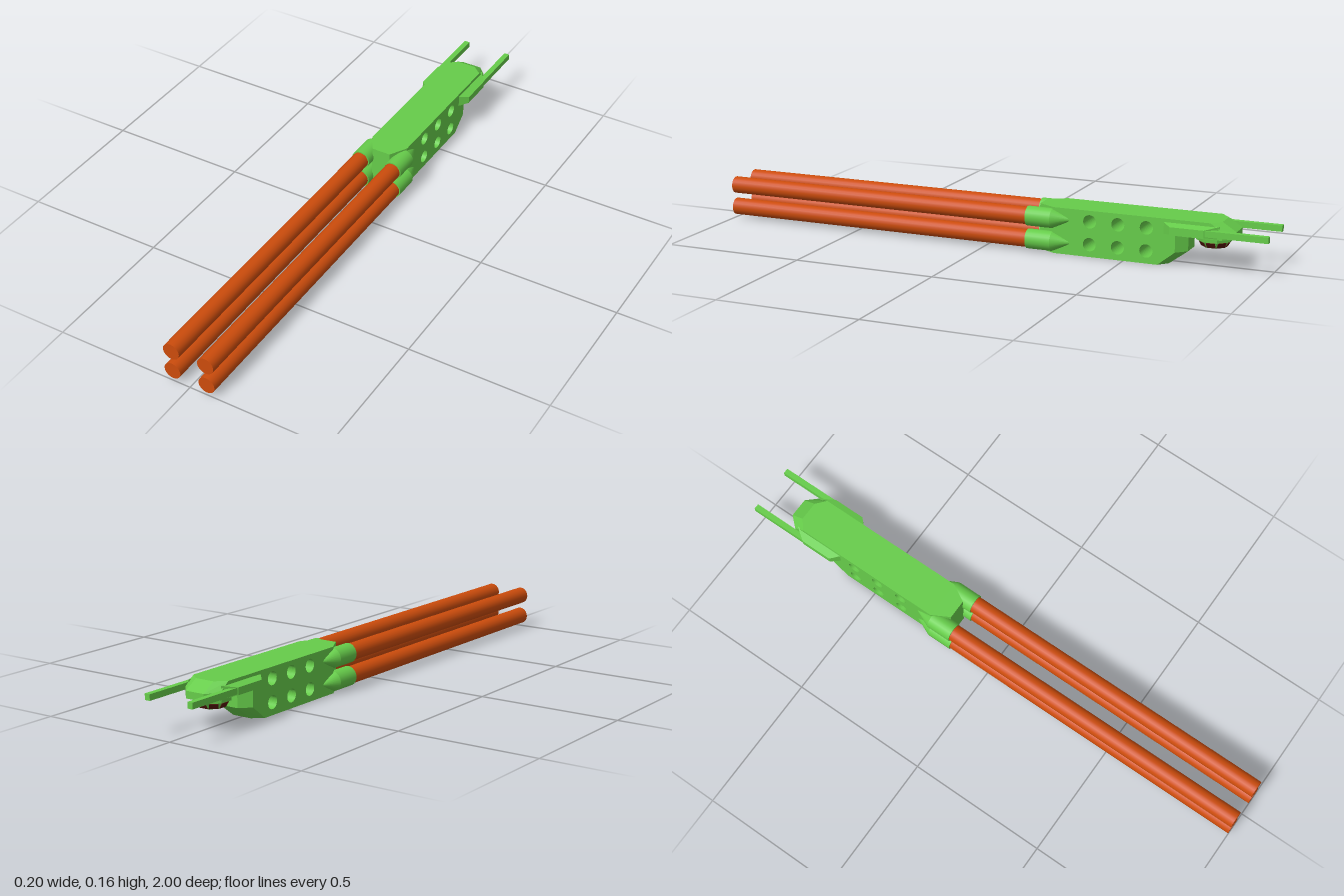
import * as THREE from 'three';
import { ConvexGeometry } from 'three/addons/geometries/ConvexGeometry.js';

export function createModel() {
  const model = new THREE.Group();
  const make = (name, color) => {
    const m = new THREE.MeshStandardMaterial({ color });
    m.name = name;
    return m;
  };
  const green = make('green', 0x66cc4a);
  const orange = make('orange', 0xcc4c0c);
  const darkRed = make('darkRed', 0x551408);

  const add = (name, geometry, material, x = 0, y = 0, z = 0) => {
    const mesh = new THREE.Mesh(geometry, material);
    mesh.name = name;
    mesh.position.set(x, y, z);
    model.add(mesh);
    return mesh;
  };
  const hull = (points) => new ConvexGeometry(points.map((p) => new THREE.Vector3(...p)));
  const mirrored = (points) => points.flatMap(([x, y, z]) => [[x, y, z], [-x, y, z]]);

  const W = 0.07, N = 0.035, H = 0.16;

  // Central housing, pierced sideways by six round holes
  const side = new THREE.Shape();
  side.moveTo(0.25, 0);
  side.lineTo(0.615, 0);
  side.lineTo(0.615, H);
  side.lineTo(0.25, H);
  side.closePath();
  for (const z of [0.38, 0.48, 0.58]) {
    for (const y of [0.043, 0.122]) {
      const hole = new THREE.Path();
      hole.absarc(z, y, 0.023, 0, Math.PI * 2, true);
      side.holes.push(hole);
    }
  }
  const housing = new THREE.ExtrudeGeometry(side, { depth: 2 * W, bevelEnabled: false, curveSegments: 20 });
  housing.translate(0, 0, -W);
  housing.rotateY(Math.PI / 2);
  add('housing', housing, green);

  // Tapered front of the housing
  add('housingFront', hull(mirrored([0, H].flatMap((y) => [
    [N, y, -0.187], [W, y, -0.25],
  ]))), green);

  // Rear of the housing, chamfered at the sides and below
  add('housingRear', hull(mirrored([
    [W, 0, -0.615], [W, 0.11, -0.615],
    [W, 0, -0.62], [N, 0, -0.65],
    [W, 0.048, -0.68], [N, 0.048, -0.715],
    [W, 0.11, -0.68], [N, 0.11, -0.715],
  ])), green);

  // Overhanging head
  add('head', hull(mirrored([
    [W, 0.105, -0.615], [W, H, -0.615],
    [W, 0.105, -0.84], [N, 0.105, -0.878],
    [W, 0.13, -0.84], [N, 0.13, -0.878],
    [W, H, -0.80], [N, H, -0.83],
  ])), green);

  // Tubes and their pointed sockets
  for (const x of [-0.064, 0.064]) {
    for (const y of [0.04, 0.12]) {
      const tube = new THREE.CylinderGeometry(0.03, 0.03, 1.17, 24);
      tube.rotateX(Math.PI / 2);
      add('tube', tube, orange, x, y, 0.415);

      const socket = new THREE.CylinderGeometry(0.034, 0.034, 0.09, 24);
      socket.rotateX(Math.PI / 2);
      add('socket', socket, green, x, y, -0.2);

      const point = new THREE.ConeGeometry(0.034, 0.075, 24);
      point.rotateX(-Math.PI / 2);
      add('socketPoint', point, green, x, y, -0.2825);
    }
  }

  // Side pods with rods reaching back
  for (const s of [-1, 1]) {
    add('sidePod', hull([
      ...[0.107, 0.15].flatMap((y) => [[s * 0.065, y, -0.635], [s * 0.065, y, -0.83]]),
      ...[0.115, 0.14].flatMap((y) => [[s * 0.097, y, -0.668], [s * 0.097, y, -0.785]]),
    ]), green);
    add('rearRod', new THREE.BoxGeometry(0.02, 0.021, 0.23), green, s * 0.085, 0.1285, -0.885);
  }

  // Octagonal turret under the head
  const octagon = (top, bottom, height) => {
    const g = new THREE.CylinderGeometry(top, bottom, height, 8);
    g.rotateY(Math.PI / 8);
    return g.toNonIndexed();
  };
  const plate = octagon(0.064, 0.062, 0.017);
  plate.computeVertexNormals();
  add('turretPlate', plate, green, 0, 0.0985, -0.795);
  const drum = octagon(0.056, 0.042, 0.022);
  drum.computeVertexNormals();
  add('turretDrum', drum, green, 0, 0.079, -0.795);

  // Dark panes around the turret
  for (let i = 0; i < 8; i++) {
    const pane = new THREE.BoxGeometry(0.03, 0.02, 0.004);
    pane.rotateX(0.53);
    pane.translate(0, 0, 0.0455);
    pane.rotateY((i * Math.PI) / 4);
    add('turretPane', pane, darkRed, 0, 0.079, -0.795);
  }

  return model;
}
